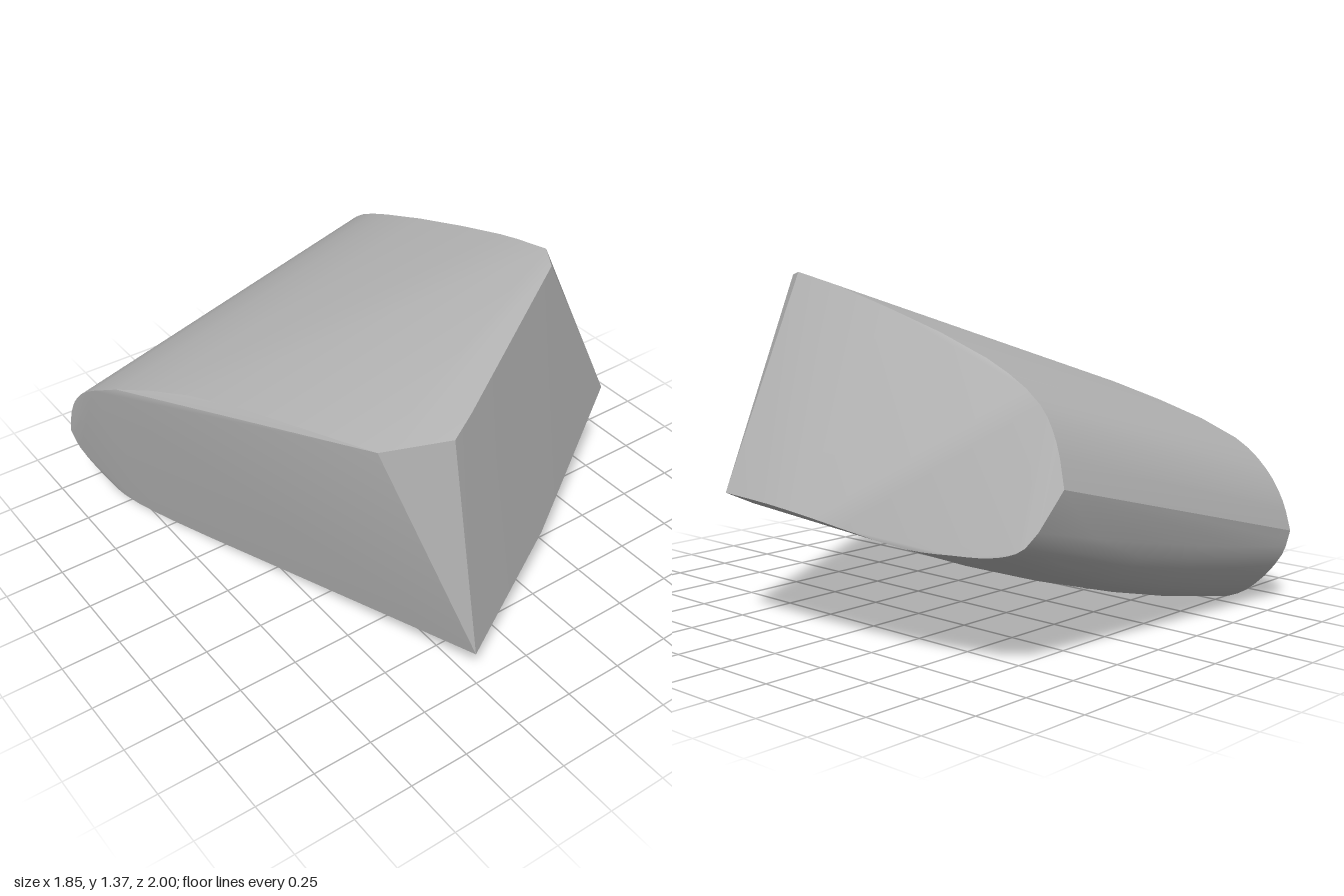
import * as THREE from 'three';
import { ConvexGeometry } from 'three/addons/geometries/ConvexGeometry.js';
import { toCreasedNormals } from 'three/addons/utils/BufferGeometryUtils.js';

const vec = (p) => new THREE.Vector3(...p);
// smooth outline through a few points
const outline = (pts, n) => new THREE.CatmullRomCurve3(pts.map(vec)).getPoints(n);

export function createModel() {
  const stone = new THREE.MeshStandardMaterial({ color: 0xb4b4b4 });
  stone.name = 'stone grey';

  // lower edges of the two ends, from the back tip round to the front
  const lowA = outline([
    [-0.925, 0.30, -0.99], [-0.90, 0.20, -0.97], [-0.84, 0.07, -0.88], [-0.80, 0.01, -0.78],
    [-0.71, 0.005, -0.5], [-0.53, 0.07, 0.1], [-0.35, 0.13, 0.7], [-0.26, 0.16, 1.0],
  ], 21);
  const lowB = outline([
    [0.56, 0.68, -1.0], [0.69, 0.49, -0.94], [0.73, 0.45, -0.85], [0.78, 0.44, -0.68],
    [0.82, 0.44, -0.5], [0.90, 0.505, -0.1], [0.92, 0.53, 0.12], [0.92, 0.54, 0.37],
  ], 21);
  // upper edges of the two ends, from the back tip to the front
  const highA = outline([
    [-0.925, 0.30, -0.99], [-0.925, 0.42, -0.95], [-0.925, 0.54, -0.87], [-0.915, 0.66, -0.72],
    [-0.75, 0.87, -0.2], [-0.53, 1.08, 0.74],
  ], 15);
  const highB = outline([
    [0.56, 0.68, -1.0], [0.53, 0.83, -0.94], [0.51, 0.95, -0.85], [0.485, 1.09, -0.58],
    [0.515, 1.31, 0.13], [0.52, 1.365, 0.39],
  ], 15);

  // gently bowed underside between the two ends
  const belly = [];
  lowA.forEach((a, i) => {
    const t = i / 21;
    const bow = 0.06 * Math.min(1, t * 3) * (1 - 0.55 * t);
    for (const s of [0.2, 0.4, 0.6, 0.8]) {
      const p = a.clone().lerp(lowB[i], s);
      p.y -= bow * 4 * s * (1 - s);
      belly.push(p);
    }
  });

  // corners of the broken front
  const front = [
    [-0.31, 1.13, 0.89], [-0.2, 1.165, 0.84], [0.47, 1.35, 0.48], [0.28, 0.31, 0.74],
  ].map(vec);

  const hull = new ConvexGeometry([...lowA, ...lowB, ...highA, ...highB, ...belly, ...front]);
  const rock = new THREE.Mesh(toCreasedNormals(hull, 0.42), stone);
  rock.name = 'rock';

  const group = new THREE.Group();
  group.name = 'boulder';
  group.add(rock);

  // rest on the ground
  hull.computeBoundingBox();
  rock.position.y = -hull.boundingBox.min.y;
  return group;
}
